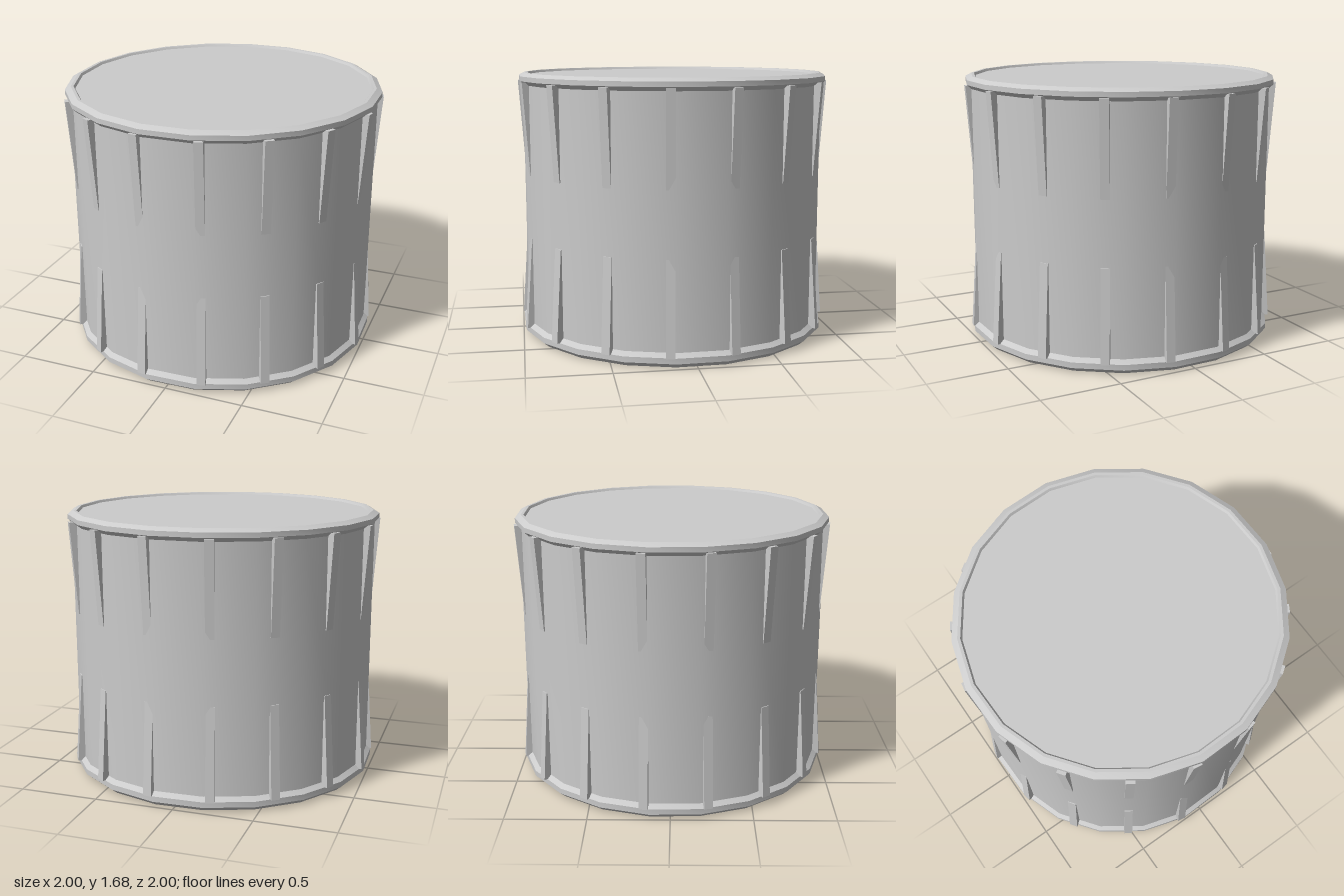
import * as THREE from 'three';
import { toCreasedNormals } from 'three/addons/utils/BufferGeometryUtils.js';

const SIDES = 20, RIBS = 16;
const rad = THREE.MathUtils.degToRad;
const TURN = rad(-7.4); // first corner of the twenty-sided shell

export function createModel() {
  const group = new THREE.Group();
  const material = new THREE.MeshStandardMaterial({ color: 0xcccccc });

  const add = (name, geometry) => {
    const mesh = new THREE.Mesh(geometry, material);
    mesh.name = name;
    group.add(mesh);
    return mesh;
  };

  // Ring turned from [radius, height] points: smooth around, sharp along the profile
  const turned = (profile) => toCreasedNormals(
    new THREE.LatheGeometry(profile.map(([r, y]) => new THREE.Vector2(r, y)), SIDES, TURN),
    0.5,
  );

  // Shell and its two rims
  add('shell', turned([[0.973, 0.07], [0.973, 1.63]]));
  add('bottomHoop', turned([[0.965, 0], [1, 0.03], [1, 0.065], [0.96, 0.102]]));
  add('topHoop', turned([
    [0.96, 1.598], [1, 1.635], [1, 1.665], [0.963, 1.685], [0.945, 1.685], [0.935, 1.67],
  ]));

  // Flat heads
  const topHead = new THREE.CircleGeometry(0.935, SIDES, TURN);
  topHead.rotateX(-Math.PI / 2).translate(0, 1.67, 0);
  add('topHead', topHead);
  const bottomHead = new THREE.CircleGeometry(0.965, SIDES, -TURN);
  bottomHead.rotateX(Math.PI / 2);
  add('bottomHead', bottomHead);

  // Wedge rib: thick at the hoop, thinning into the shell
  const width = 0.055;
  const ribGeometry = (hoopY, tipY) => {
    const shape = new THREE.Shape([
      new THREE.Vector2(0.93, hoopY), new THREE.Vector2(1.008, hoopY),
      new THREE.Vector2(0.967, tipY), new THREE.Vector2(0.93, tipY),
    ]);
    return new THREE.ExtrudeGeometry(shape, { depth: width, bevelEnabled: false })
      .translate(0, 0, -width / 2);
  };
  const upper = ribGeometry(1.63, 1.05);
  const lower = ribGeometry(0.065, 0.645);
  for (let i = 0; i < RIBS; i++) {
    const angle = rad(13.2 + (i * 360) / RIBS - 90);
    add('upperRib', upper).rotation.y = angle;
    add('lowerRib', lower).rotation.y = angle;
  }

  return group;
}
